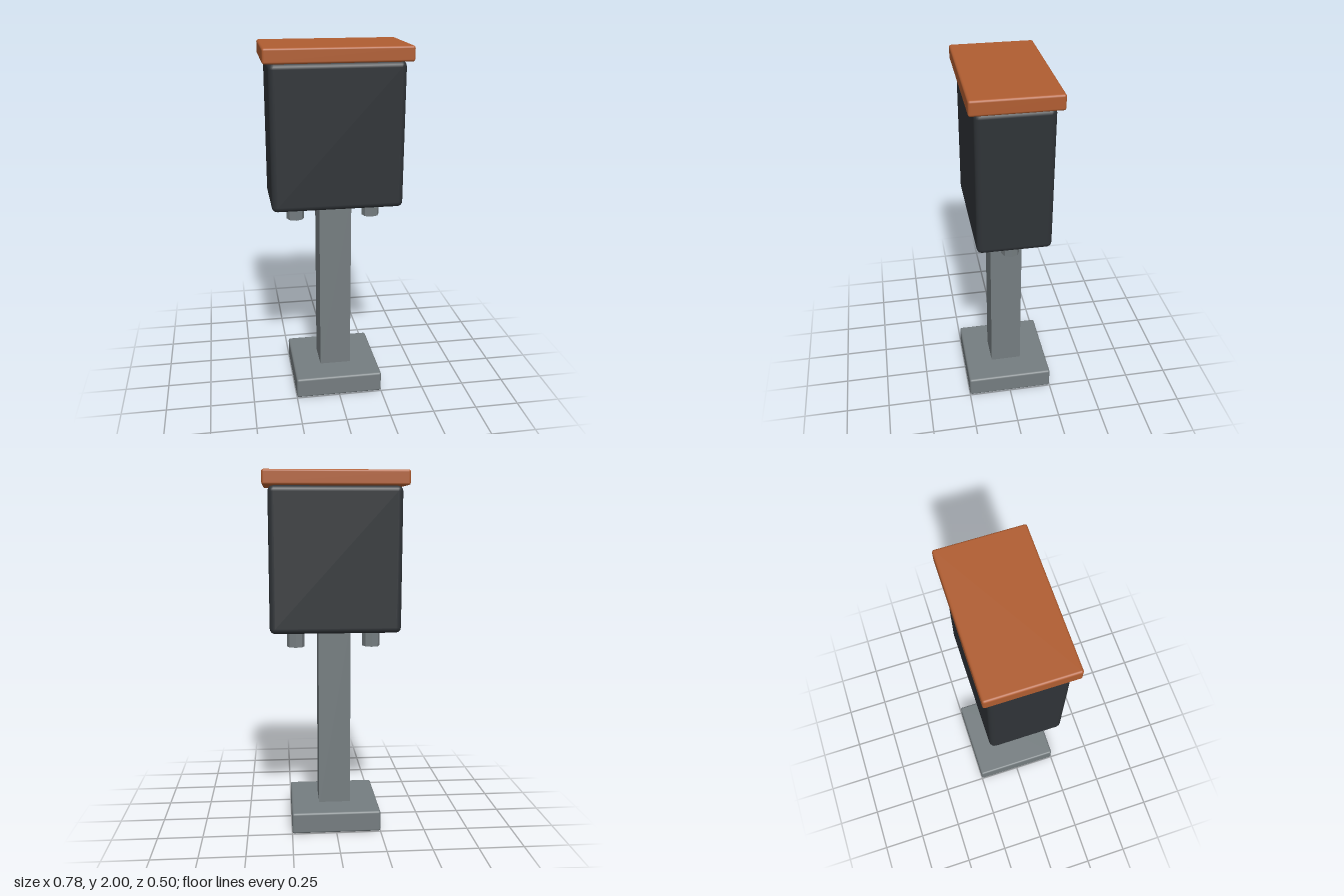
import * as THREE from 'three';
import { RoundedBoxGeometry } from 'three/addons/geometries/RoundedBoxGeometry.js';

export function createModel() {
  const model = new THREE.Group();
  const steel = new THREE.MeshStandardMaterial({ color: 0x757d80 });
  const steelFlat = new THREE.MeshStandardMaterial({ color: 0x757d80, flatShading: true });
  const dark = new THREE.MeshStandardMaterial({ color: 0x2f3337 });
  const orange = new THREE.MeshStandardMaterial({ color: 0xb05d31 });

  const add = (name, geometry, material, x, y) => {
    const mesh = new THREE.Mesh(geometry, material);
    mesh.name = name;
    mesh.position.set(x, y, 0);
    model.add(mesh);
  };

  // Box with softened edges, placed between two heights
  const slab = (name, w, d, y0, y1, radius, material) =>
    add(name, new RoundedBoxGeometry(w, y1 - y0, d, 2, radius), material, 0, (y0 + y1) / 2);

  // Foot and square post
  slab('base', 0.5, 0.5, 0, 0.12, 0.012, steel);
  add('post', new THREE.BoxGeometry(0.18, 1.08, 0.18), steel, 0, 0.64);

  // Cabinet and overhanging lid
  slab('cabinet', 0.72, 0.4, 1.13, 1.92, 0.03, dark);
  slab('lid', 0.78, 0.46, 1.92, 2, 0.012, orange);

  // Cable fittings under the cabinet
  for (const [side, name] of [[1, 'leftCableFitting'], [-1, 'rightCableFitting']]) {
    add(name, new THREE.CylinderGeometry(0.05, 0.05, 0.12, 8), steelFlat, side * 0.216, 1.09);
  }

  return model;
}
